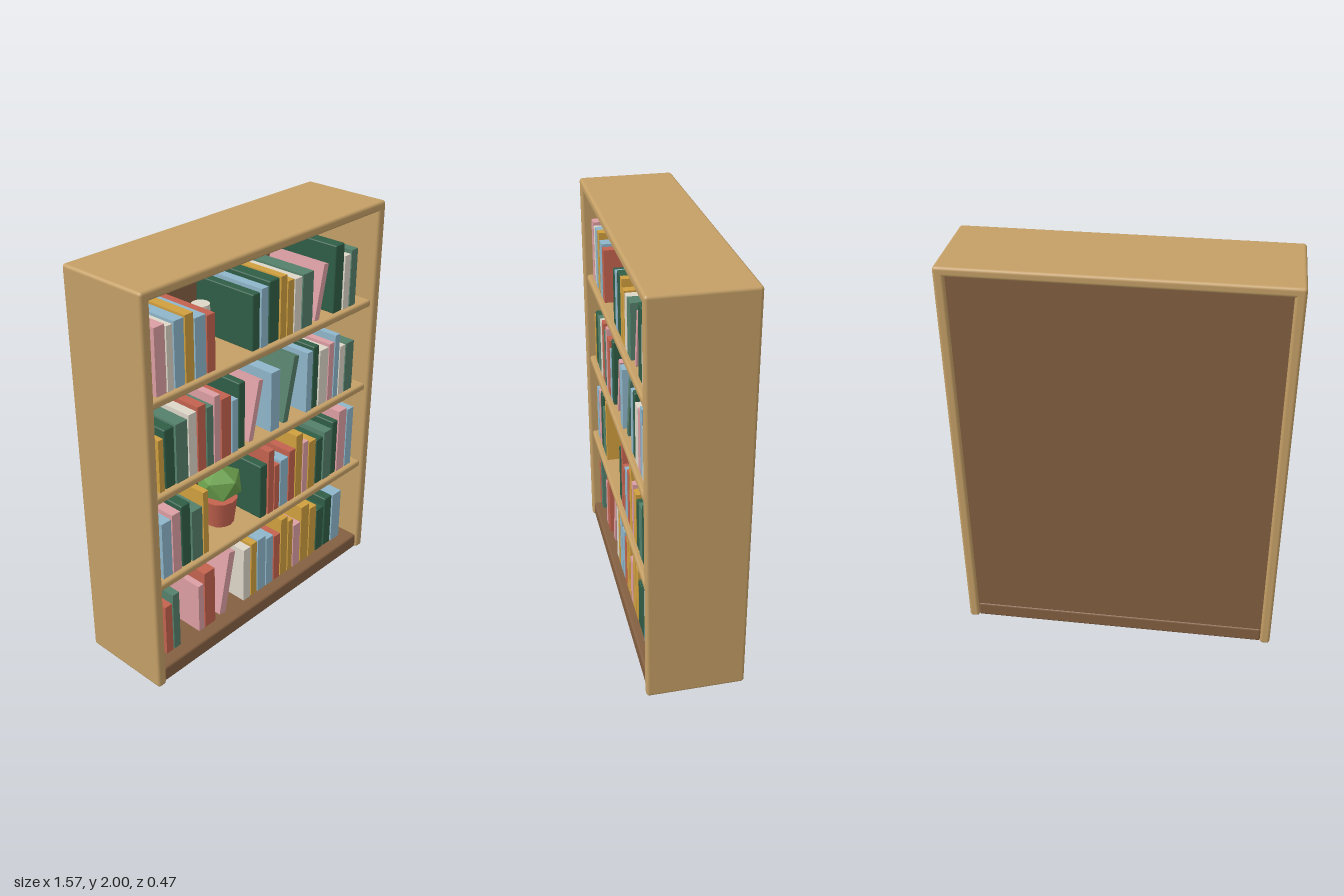
import * as THREE from 'three';
import { RoundedBoxGeometry } from 'three/addons/geometries/RoundedBoxGeometry.js';

const mat = (name, color, flat = false) => {
  const m = new THREE.MeshStandardMaterial({ color, flatShading: flat });
  m.name = name;
  return m;
};

export function createModel() {
  const group = new THREE.Group();
  group.name = 'bookcase';

  const wood = mat('light wood', 0xc49f66);
  const darkWood = mat('dark wood', 0x835f41);
  const leaf = mat('leaf green', 0x6a9f4c, true);
  const covers = {
    P: mat('pink', 0xdb9ea3),
    C: mat('cream', 0xddd6c8),
    B: mat('blue', 0x8fb6ca),
    M: mat('mustard', 0xd09f3f),
    R: mat('terracotta', 0xc2624e),
    D: mat('dark green', 0x2f5d46),
    G: mat('sage green', 0x55806b),
  };

  const add = (name, geometry, material, x, y, z, parent = group) => {
    const mesh = new THREE.Mesh(geometry, material);
    mesh.name = name;
    mesh.position.set(x, y, z);
    parent.add(mesh);
    return mesh;
  };
  const board = (w, h, d, r) => new RoundedBoxGeometry(w, h, d, 3, r);

  // Carcass
  for (const s of [-1, 1]) {
    add(s > 0 ? 'leftSide' : 'rightSide', board(0.05, 2, 0.47, 0.015), wood, s * 0.762, 1, 0);
  }
  add('topBoard', board(1.574, 0.046, 0.47, 0.015), wood, 0, 1.977, 0);
  add('backPanel', new THREE.BoxGeometry(1.49, 1.93, 0.03), darkWood, 0, 0.995, -0.205);
  add('plinth', board(1.478, 0.08, 0.45, 0.012), darkWood, 0, 0.045, 0);

  // Shelves
  const rows = [1.505, 1.04, 0.574, 0.132];
  for (const y of rows.slice(0, 3)) {
    add('shelf', board(1.475, 0.037, 0.41, 0.012), wood, 0, y - 0.0185, 0.015);
  }

  // Books: each entry is colour, spacing x height in thousandths
  const depth = 0.35, bookZ = 0.02, gap = 0.008;
  const books = new THREE.Group();
  books.name = 'books';
  group.add(books);
  const run = (row, startX, list) => {
    let x = startX;
    for (const entry of list.split(' ')) {
      const [pitch, h] = entry.slice(1).split('x').map((v) => v / 1000);
      const w = pitch - gap;
      // Dark green volumes have softened edges
      const geometry = entry[0] === 'D' ? board(w, h, depth, 0.007) : new THREE.BoxGeometry(w, h, depth);
      add('book', geometry, covers[entry[0]], x + w / 2, rows[row] + h / 2, bookZ);
      x += pitch;
    }
  };
  const leaning = (row, x, color, w, h, angle) => {
    const y = rows[row] + (h * Math.cos(angle) + w * Math.sin(angle)) / 2 - 0.004;
    add('leaningBook', new THREE.BoxGeometry(w, h, depth - 0.02), covers[color], x, y, bookZ, books).rotation.z = -angle;
  };

  // Top row
  run(0, -0.69, 'P66x310 C42x296 B64x304 M56x310 B71x278 R56x267');
  run(0, -0.106, 'D56x272 B53x283 D77x302 M48x302 M50x267 C56x262 G82x267');
  leaning(0, 0.384, 'P', 0.033, 0.275, 0.21);
  run(0, 0.468, 'D74x341 C50x272 G53x288');

  // Second row
  run(1, -0.693, 'M37x259 D66x294 G77x294 C56x310 R56x325 G48x299 P45x336 R69x304 B45x270 D50x341');
  leaning(1, -0.069, 'P', 0.03, 0.305, 0.225);
  run(1, 0.026, 'B69x310');
  leaning(1, 0.18, 'G', 0.035, 0.338, 0.22);
  run(1, 0.286, 'B48x320 D48x336 C71x299 P45x310 B42x341 C48x267 G69x267');

  // Third row
  run(2, -0.693, 'B64x299 P58x315 D64x333 G74x272 M40x341');
  run(2, -0.042, 'D58x299 R48x357 R42x257 B64x267 R53x291 M56x357 P45x294 M61x278 D61x265 G66x283 D50x315 P69x357 B58x341');

  // Bottom row
  run(3, -0.693, 'R50x275 G48x317');
  run(3, -0.476, 'P42x270 R77x323');
  leaning(3, -0.267, 'P', 0.042, 0.347, 0.21);
  run(3, -0.159, 'C56x310 M48x317 B66x317 B58x291 R53x275 M58x349 M42x312 P61x262 M69x344 M61x304 D66x265 D66x302 B77x296');

  // Vase
  add('vase', new THREE.CylinderGeometry(0.042, 0.06, 0.23, 12), covers.C, -0.253, 1.62, 0.02);

  // Potted plant
  add('pot', new THREE.CylinderGeometry(0.09, 0.072, 0.14, 12), covers.R, -0.178, 0.644, 0.05);
  const bush = new THREE.IcosahedronGeometry(0.115, 0);
  bush.rotateZ(0.55); // bring one corner to the top
  bush.rotateY(0.3);
  bush.scale(1.05, 0.83, 1.05);
  add('bush', bush, leaf, -0.178, 0.79, 0.05);

  return group;
}
